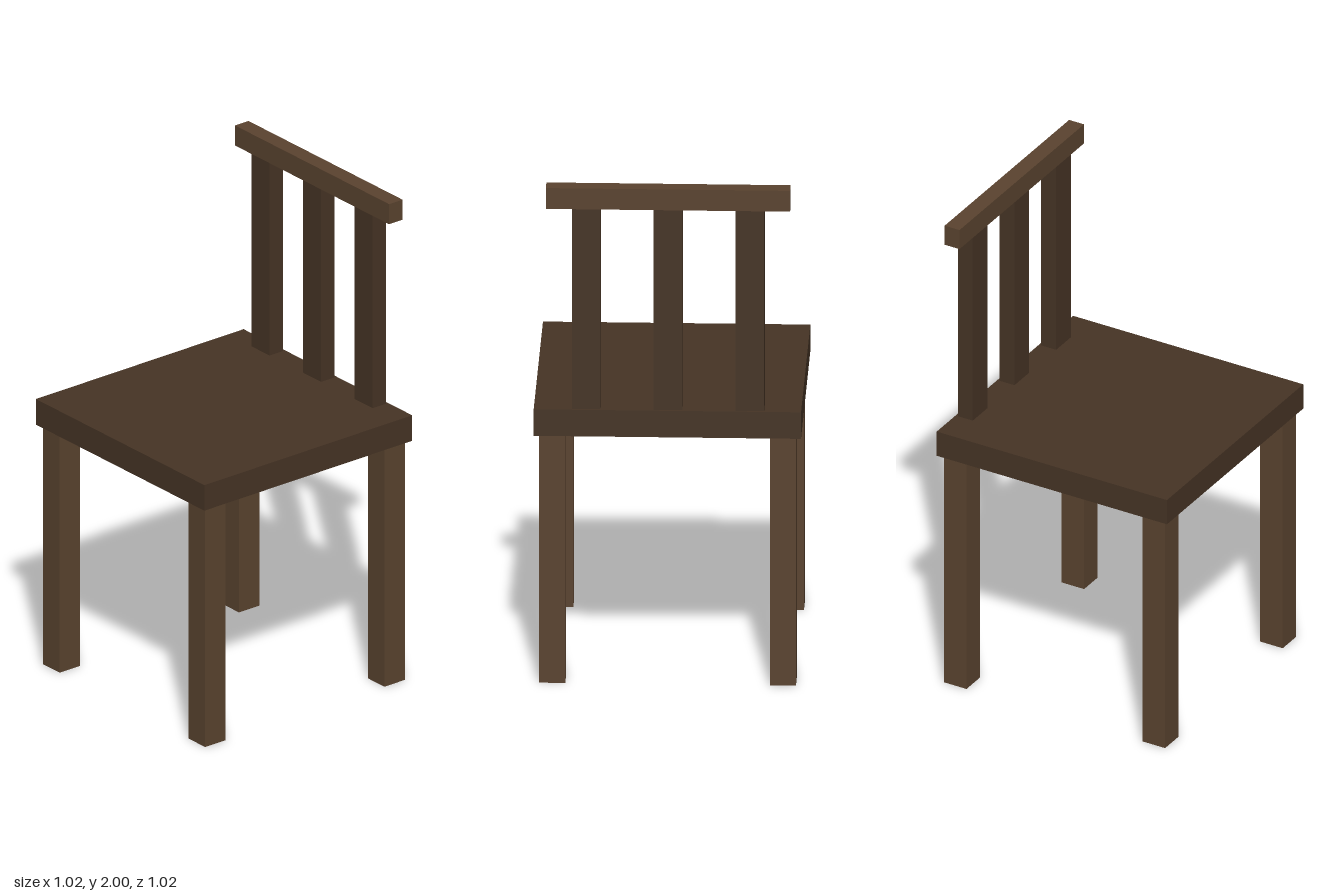
import * as THREE from 'three';

export function createModel() {
  const chair = new THREE.Group();
  chair.name = 'chair';
  const lightWood = new THREE.MeshStandardMaterial({ color: 0x5a432f });
  const darkWood = new THREE.MeshStandardMaterial({ color: 0x463425 });

  // Box given by its size and the centre of its underside
  const addBlock = (name, material, [w, h, d], [x, y, z]) => {
    const mesh = new THREE.Mesh(new THREE.BoxGeometry(w, h, d), material);
    mesh.position.set(x, y + h / 2, z);
    mesh.name = name;
    chair.add(mesh);
  };

  // Seat
  addBlock('seat', darkWood, [1.02, 0.107, 1.02], [0, 1.003, 0]);

  // Four square legs
  for (const [side, x] of [['Left', 0.44], ['Right', -0.44]]) {
    addBlock(`front${side}Leg`, lightWood, [0.1, 1.003, 0.1], [x, 0, 0.44]);
    addBlock(`back${side}Leg`, lightWood, [0.1, 1.003, 0.1], [x, 0, -0.44]);
  }

  // Backrest: three slats under a top rail
  const backZ = -0.467;
  for (const [name, x] of [['rightSlat', -0.314], ['middleSlat', -0.002], ['leftSlat', 0.31]]) {
    addBlock(name, darkWood, [0.11, 0.806, 0.066], [x, 1.11, backZ]);
  }
  addBlock('topRail', lightWood, [0.932, 0.084, 0.066], [-0.002, 1.916, backZ]);

  return chair;
}
